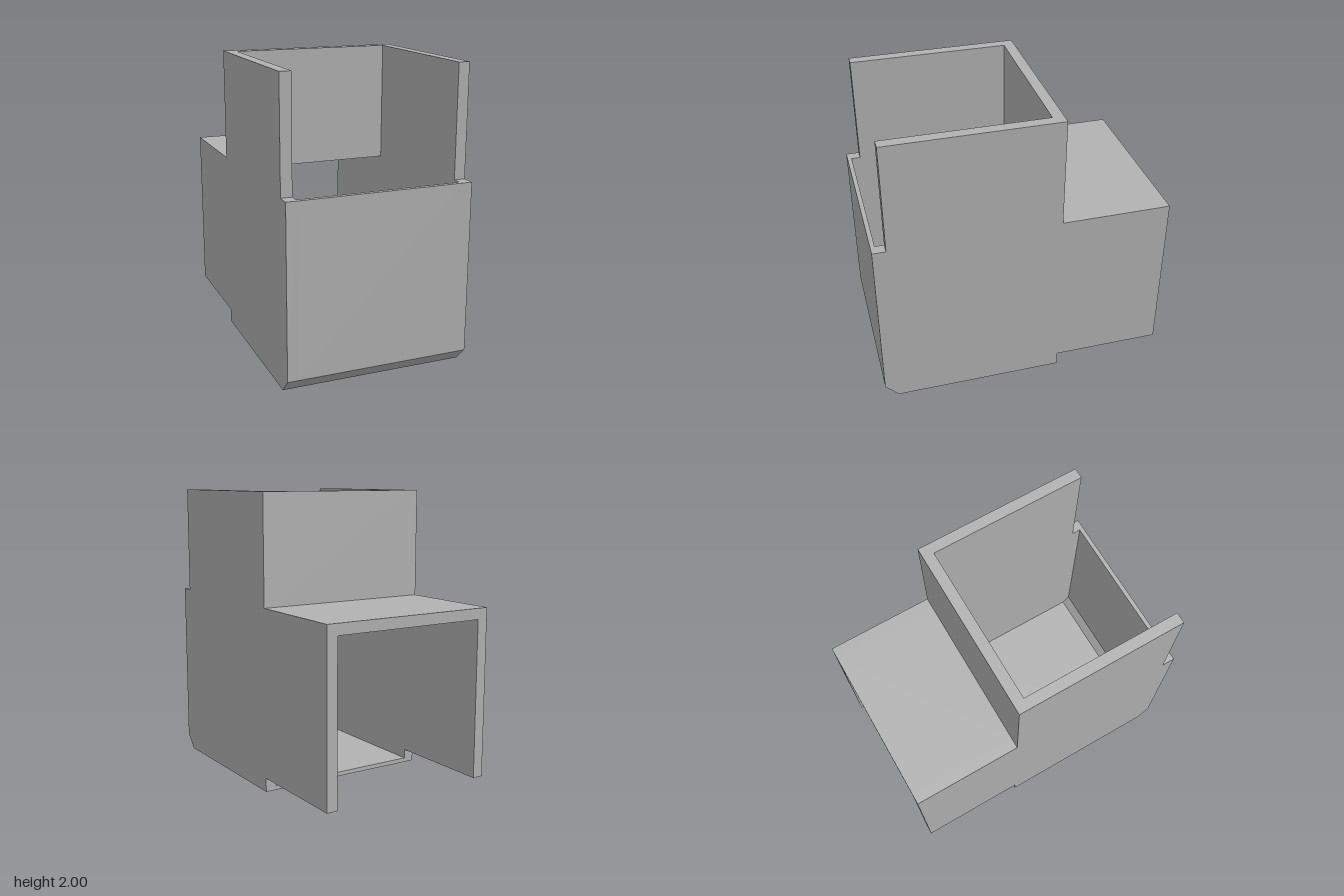
import * as THREE from 'three';

const HALF = 0.625;  // outer half width
const WALL = 0.075;  // thick wall
const INNER = HALF - WALL;

// Extrudes a [z, y] profile along x from x0 to x1.
function slab(name, profile, x0, x1, material) {
  const shape = new THREE.Shape(profile.map(([z, y]) => new THREE.Vector2(-z, y)));
  const geometry = new THREE.ExtrudeGeometry(shape, { depth: x1 - x0, bevelEnabled: false });
  geometry.rotateY(Math.PI / 2).translate(x0, 0, 0);
  const mesh = new THREE.Mesh(geometry, material);
  mesh.name = name;
  return mesh;
}

export function createModel() {
  const group = new THREE.Group();
  group.name = 'tJunctionHousing';
  const grey = new THREE.MeshStandardMaterial({ color: 0xb2b2b2 });
  grey.name = 'plainGrey';

  // Two stepped side walls with a chamfered lower front corner
  const side = [
    [0.91, 0], [1, 0.095], [1, 1.25], [0.91, 1.25], [0.91, 2], [-0.25, 2],
    [-0.25, 1.25], [-1, 1.25], [-1, 0.095], [-0.25, 0.095], [-0.25, 0],
  ];
  group.add(slab('leftWall', side, INNER, HALF, grey));
  group.add(slab('rightWall', side, -HALF, -INNER, grey));

  // Thin sheet: front panel, chamfer and floor in one piece
  const sheet = [
    [-0.25, 0], [0.91, 0], [1, 0.095], [1, 1.25],
    [0.97, 1.25], [0.97, 0.08], [0.92, 0.03], [-0.25, 0.03],
  ];
  group.add(slab('frontPanelAndFloor', sheet, -INNER, INNER, grey));

  // Back wall of the upper opening joined to the roof of the rear opening
  const elbow = [
    [-0.25, 2], [-0.25, 1.25], [-1, 1.25], [-1, 1.25 - WALL],
    [-0.25 + WALL, 1.25 - WALL], [-0.25 + WALL, 2],
  ];
  group.add(slab('backWallAndRoof', elbow, -INNER, INNER, grey));

  return group;
}
